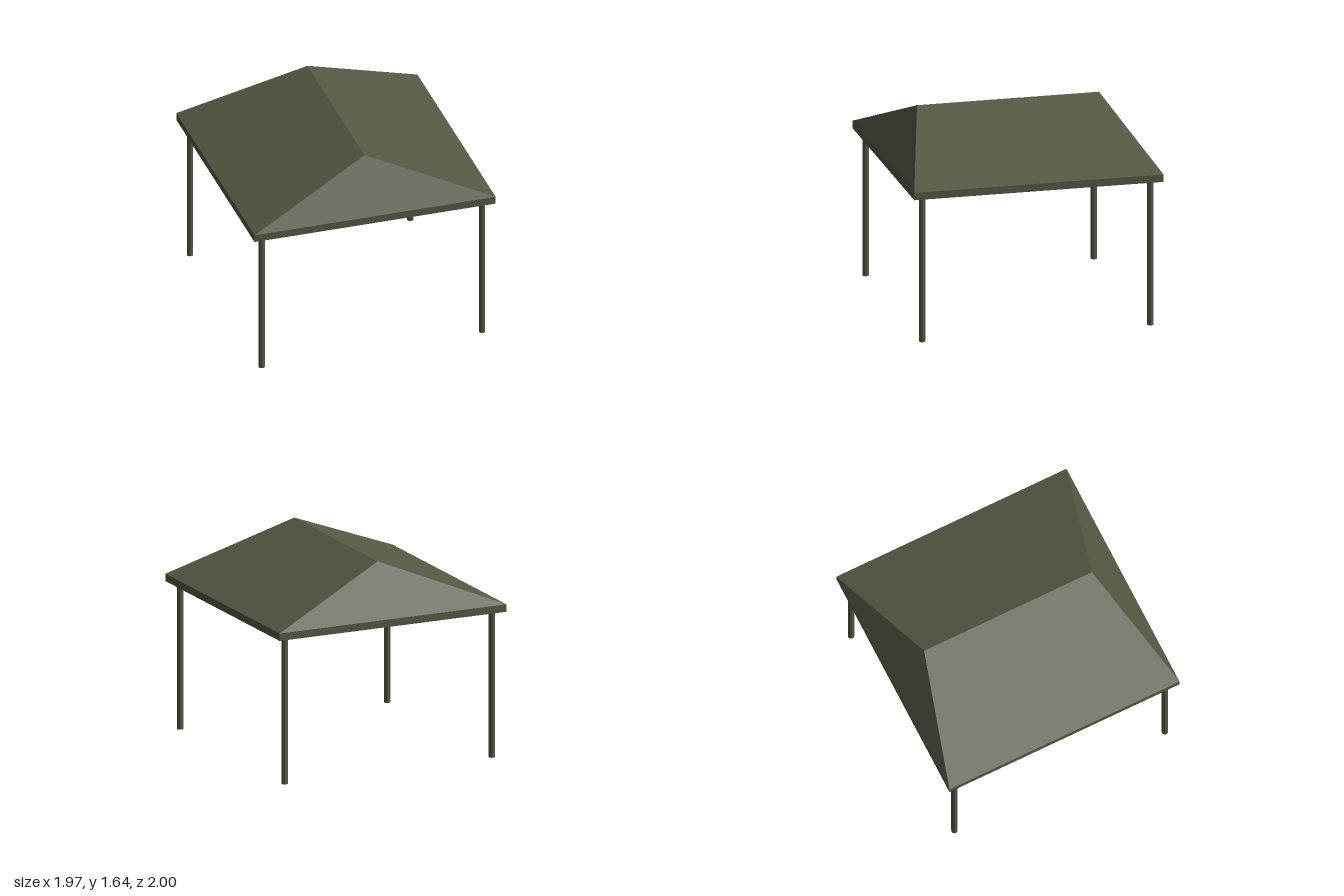
import * as THREE from 'three';

// Skins a list of rectangular rings [halfX, y, halfZ]; a ring with halfX 0 is a ridge line
function ringShell(rings) {
  const corners = rings.map(([x, y, z]) => [[x, z], [x, -z], [-x, -z], [-x, z]]
    .map(([px, pz]) => new THREE.Vector3(px, y, pz)));
  const points = [];
  const addTriangle = (a, b, c) => {
    if (new THREE.Triangle(a, b, c).getArea() > 1e-6) points.push(a, b, c);
  };
  for (let r = 0; r < rings.length - 1; r++) {
    for (let i = 0; i < 4; i++) {
      const j = (i + 1) % 4;
      const lower = corners[r], upper = corners[r + 1];
      addTriangle(lower[i], lower[j], upper[j]);
      addTriangle(lower[i], upper[j], upper[i]);
    }
  }
  const geometry = new THREE.BufferGeometry().setFromPoints(points);
  geometry.computeVertexNormals();
  return geometry;
}

export function createModel() {
  const group = new THREE.Group();
  group.name = 'gazebo';
  const olive = new THREE.MeshStandardMaterial({ color: 0x565844 });
  olive.name = 'olive';

  // Hollow hip roof: inner ridge, inner wall, flat rim, outer fascia, outer ridge
  const roof = new THREE.Mesh(ringShell([
    [0, 1.46, 0.6],
    [0.86, 1.26, 0.87],
    [0.86, 1.18, 0.87],
    [0.985, 1.18, 1],
    [0.985, 1.24, 1],
    [0, 1.64, 0.73],
  ]), olive);
  roof.name = 'roof';
  group.add(roof);

  // Four round posts under the rim
  const postGeometry = new THREE.CylinderGeometry(0.025, 0.025, 1.18, 24);
  for (const x of [-0.9, 0.9]) {
    for (const z of [-0.915, 0.915]) {
      const post = new THREE.Mesh(postGeometry, olive);
      post.name = `${z > 0 ? 'front' : 'back'}${x > 0 ? 'Left' : 'Right'}Post`;
      post.position.set(x, 0.59, z);
      group.add(post);
    }
  }
  return group;
}
